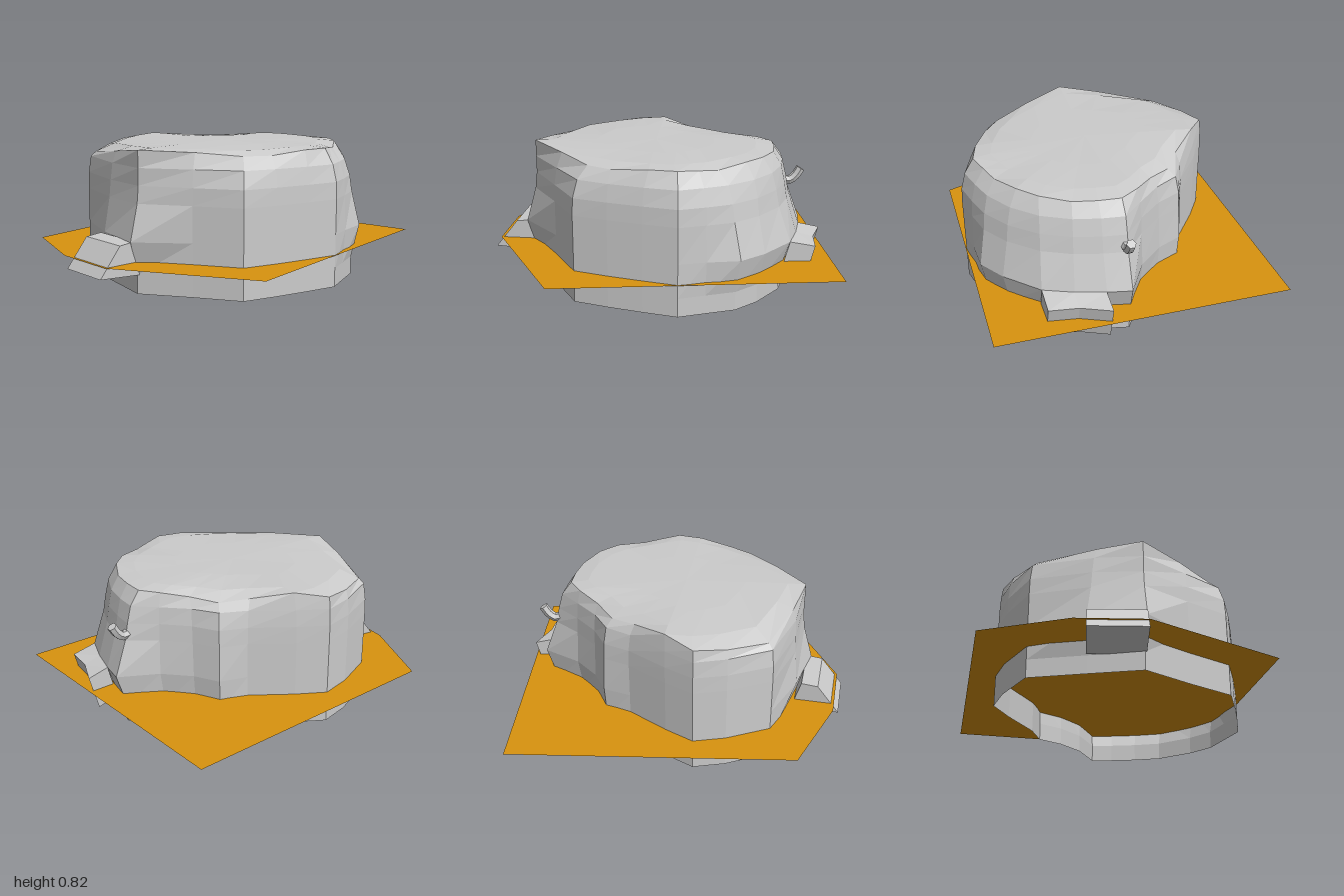
import * as THREE from 'three';

const grey = new THREE.MeshStandardMaterial({ color: 0xcccccc, flatShading: true, side: THREE.DoubleSide });
const orange = new THREE.MeshStandardMaterial({ color: 0xd8930f, side: THREE.DoubleSide });

// Wall columns, clockwise from the back: outer x, outer z, rim x, rim z, rim height, taper
const columns = [
  [0.06, -0.90, 0.07, -0.71, 0.80, 1],
  [0.20, -0.87, 0.20, -0.70, 0.80, 1],
  [0.37, -0.82, 0.34, -0.67, 0.80, 1],
  [0.54, -0.75, 0.50, -0.58, 0.81, 1],
  [0.72, -0.57, 0.60, -0.47, 0.81, 0.8],
  [0.82, -0.42, 0.69, -0.30, 0.79, 0.7],
  [0.83, -0.23, 0.73, -0.19, 0.80, 0.2],
  [0.855, -0.07, 0.77, -0.07, 0.81, 0],
  [0.78, 0.12, 0.73, 0.08, 0.81, 0],
  [0.70, 0.31, 0.64, 0.28, 0.79, 0],
  [0.61, 0.50, 0.54, 0.41, 0.79, 0],
  [0.34, 0.61, 0.32, 0.56, 0.81, 0],
  [0.05, 0.80, 0.05, 0.73, 0.82, 2],
  [-0.27, 0.68, -0.20, 0.64, 0.79, 1],
  [-0.57, 0.51, -0.53, 0.48, 0.75, 0],
  [-0.67, 0.25, -0.64, 0.25, 0.77, 0],
  [-0.705, 0.06, -0.69, 0.06, 0.79, 0],
  [-0.60, -0.10, -0.57, -0.10, 0.82, 0],
  [-0.43, -0.32, -0.40, -0.28, 0.78, 0],
  [-0.37, -0.48, -0.30, -0.42, 0.76, 0.3],
  [-0.22, -0.55, -0.16, -0.52, 0.78, 0.4],
  [-0.07, -0.68, -0.04, -0.64, 0.80, 0.6],
];

// Each level: height, inward blend of upright columns, inward blend of tapered columns
const levels = [
  [0, 0, 0], [0.11, 0, 0], [0.31, 0, 0], [0.52, 0, 0.42],
  [0.62, 0.05, 0.53], [0.72, 0.35, 0.68], [1, 1, 1],
];

function bodyGeometry() {
  const pos = [], index = [], n = columns.length, lerp = THREE.MathUtils.lerp;
  levels.forEach(([y, upright, tapered], j) => {
    for (const [ox, oz, rx, rz, rimY, taper] of columns) {
      const t = Math.min(1, lerp(upright, tapered, taper));
      const foot = j < 2 ? 1 - 0.07 * Math.min(taper, 1) : 1;
      const h = j === levels.length - 1 ? rimY : y;
      pos.push(lerp(ox, rx, t) * foot, h, lerp(oz, rz, t) * foot);
    }
  });
  // Nearly flat top, closed by shrinking rings
  for (const [s, level] of [[0.85, 0.7], [0.5, 0.95], [0, 1]]) {
    for (const [, , rx, rz, rimY] of columns) {
      pos.push(0.08 + (rx - 0.08) * s, lerp(rimY, 0.823, level), rz * s);
    }
  }
  const rings = pos.length / 3 / n;
  for (let j = 0; j < rings - 1; j++) {
    for (let i = 0; i < n; i++) {
      const a = j * n + i, b = j * n + (i + 1) % n, c = a + n, d = b + n;
      index.push(a, c, b);
      if (j < rings - 2) index.push(b, c, d);
    }
  }
  const g = new THREE.BufferGeometry();
  g.setAttribute('position', new THREE.Float32BufferAttribute(pos, 3));
  g.setIndex(index);
  g.computeVertexNormals();
  return g;
}

// Sloping block in front
function frontBlockGeometry() {
  const profile = new THREE.Shape([[-0.06, 0.11], [0, 0.31], [0.1, 0.3], [0.235, 0.13]]
    .map(([d, y]) => new THREE.Vector2(-d, y)));
  const g = new THREE.ExtrudeGeometry(profile, { depth: 0.33, bevelEnabled: false });
  g.translate(0, 0, -0.165);
  g.rotateY(Math.PI / 2); // profile -x becomes +z
  return g;
}

// Bent block behind: a box whose corners follow the wall
function backBlockGeometry() {
  const g = new THREE.BoxGeometry(2, 2, 2, 2, 1, 1);
  const p = g.attributes.position;
  const inner = [-0.87, -0.82, -0.75], outer = [-1, -0.925, -0.9];
  for (let i = 0; i < p.count; i++) {
    const k = Math.round(p.getX(i)) + 1, top = p.getY(i) > 0, near = p.getZ(i) > 0;
    const y = near ? (top ? 0.31 : 0.1) : (top ? 0.28 : 0.07);
    const z = (near ? inner : outer)[k] + (top ? 0 : 0.055);
    p.setXYZ(i, 0.2 + 0.17 * k, y, z);
  }
  g.computeVertexNormals();
  return g;
}

export function createModel() {
  const model = new THREE.Group();
  const add = (name, geometry, material = grey) => {
    const mesh = new THREE.Mesh(geometry, material);
    mesh.name = name;
    model.add(mesh);
    return mesh;
  };

  add('body', bodyGeometry());

  const front = add('frontBlock', frontBlockGeometry());
  front.position.set(-0.11, 0, 0.74);
  front.rotation.y = -0.18;

  add('backBlock', backBlockGeometry());

  // Small curled hook on the back wall
  const curve = new THREE.CatmullRomCurve3([[0.56, -0.78], [0.55, -0.83], [0.58, -0.87], [0.625, -0.897]]
    .map(([y, z]) => new THREE.Vector3(0.075, y, z)));
  add('hook', new THREE.TubeGeometry(curve, 6, 0.028, 6));
  const cap = add('hookEnd', new THREE.CircleGeometry(0.028, 6));
  cap.position.copy(curve.getPoint(1));
  cap.lookAt(curve.getPoint(1).add(curve.getTangent(1)));

  // Thin flat sheet around the body
  const sheet = new THREE.Shape([[-0.86, 1], [-0.86, -0.65], [-0.38, -0.9], [0.02, -0.97], [0.86, -0.65], [0.86, 1]]
    .map(([x, y]) => new THREE.Vector2(x, y)));
  const plate = add('groundSheet', new THREE.ShapeGeometry(sheet), orange);
  plate.rotation.x = -Math.PI / 2;
  plate.position.y = 0.19;

  return model;
}
